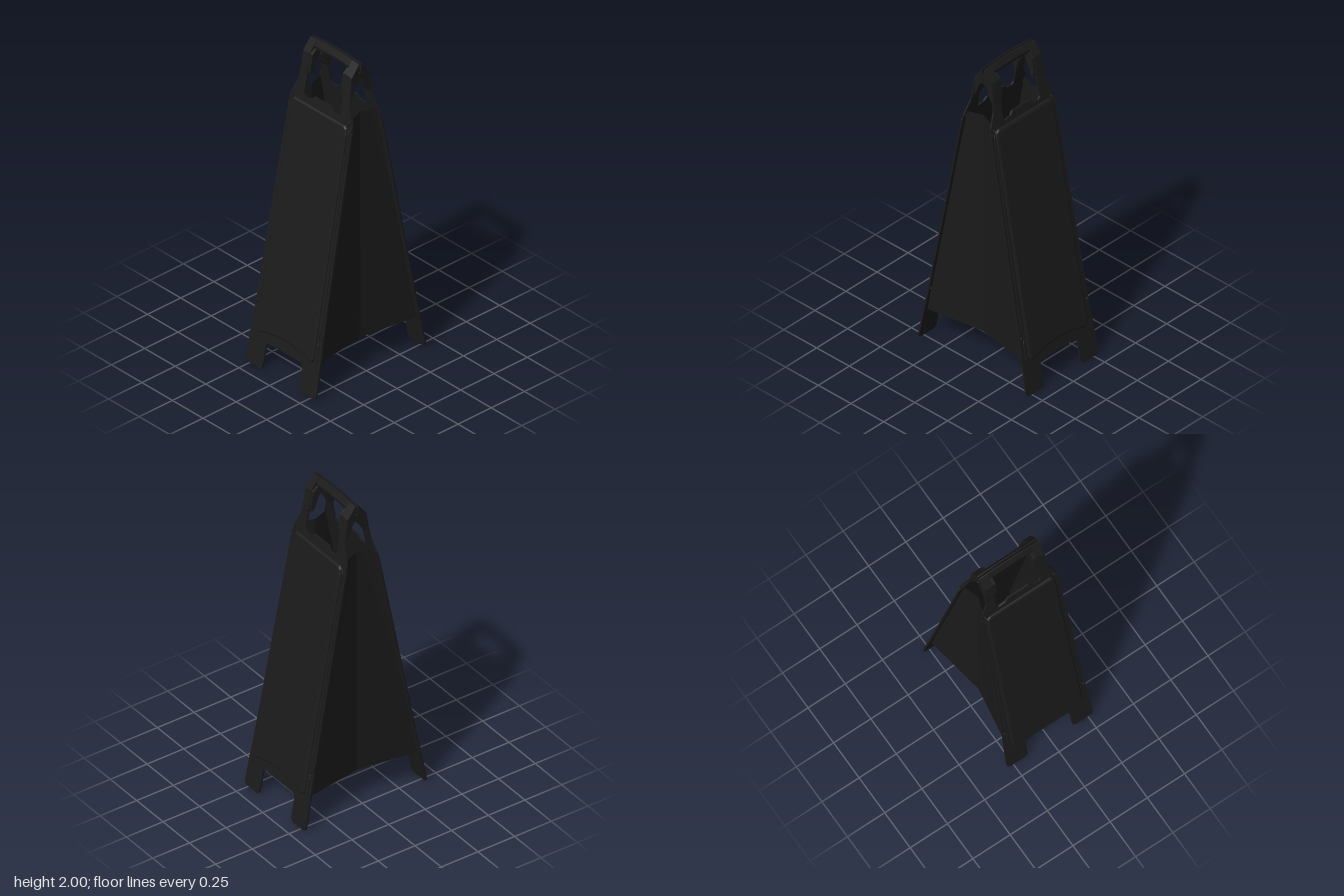
import * as THREE from 'three';

const plastic = new THREE.MeshStandardMaterial({ color: 0x1b1b1b });
const fabric = new THREE.MeshStandardMaterial({ color: 0x1a1a1a, side: THREE.DoubleSide });
plastic.name = 'black plastic';
fabric.name = 'black side sheet';

// Plane of each leaf: z = FOOT - LEAN * y
const FOOT = 0.411, LEAN = 0.187;
const planeZ = (y) => FOOT - LEAN * y;
const leanMatrix = new THREE.Matrix4().set(1, 0, 0, 0, 0, 1, 0, 0, 0, -LEAN, 1, FOOT, 0, 0, 0, 1);

// Closed outline from its right half, listed from centre bottom to centre top
function mirroredShape(half) {
  const left = half.filter(([x]) => x > 0).map(([x, y]) => [-x, y]).reverse();
  return new THREE.Shape([...half, ...left].map(([x, y]) => new THREE.Vector2(x, y)));
}

function addMesh(group, name, geometry, material = plastic) {
  const mesh = new THREE.Mesh(geometry, material);
  mesh.name = name;
  group.add(mesh);
  return mesh;
}

// Slab lying in the leaf's plane, from z0 outward
function leaningSlab(shape, z0, depth, bevel = 0, inset = bevel) {
  return new THREE.ExtrudeGeometry(shape, {
    depth, curveSegments: 10, bevelEnabled: bevel > 0,
    bevelSize: inset, bevelThickness: bevel, bevelOffset: -inset, bevelSegments: 3,
  }).translate(0, 0, z0).applyMatrix4(leanMatrix);
}

// Side profile given as [z, y], extruded from x0 to x1
function sideProfile(points, x0, x1) {
  const shape = new THREE.Shape(points.map(([z, y]) => new THREE.Vector2(-z, y)));
  return new THREE.ExtrudeGeometry(shape, { depth: x1 - x0, bevelEnabled: false, steps: 8 })
    .rotateY(Math.PI / 2).translate(x0, 0, 0);
}

// Handle parts dip slightly towards the ends
function archTop(geometry) {
  const p = geometry.attributes.position;
  for (let i = 0; i < p.count; i++) {
    if (p.getY(i) > 1.92) p.setY(i, p.getY(i) - 0.3 * p.getX(i) ** 2);
  }
  geometry.computeVertexNormals();
  return geometry;
}

function createLeaf() {
  const leaf = new THREE.Group();

  // Thin frame plate with feet, sloped shoulders and handle posts
  const plate = mirroredShape([
    [0.125, 0.165], [0.14, 0.16], [0.149, 0.145], [0.15, 0.025], [0.157, 0.008], [0.172, 0],
    [0.268, 0], [0.283, 0.008], [0.289, 0.025], [0.285, 0.17], [0.277, 0.36], [0.257, 1.6],
    [0.25, 1.655], [0.212, 1.74], [0.206, 1.77], [0.203, 1.88], [0.147, 1.88], [0.147, 1.675],
    [0.135, 1.66], [0.09, 1.668], [0.07, 1.69],
  ]);
  // Fixing holes near the corners
  for (const side of [-1, 1]) {
    for (const [x, y] of [[0.23, 1.643], [0.264, 0.36]]) {
      plate.holes.push(new THREE.Path().absellipse(side * x, y, 0.006, 0.01, 0, Math.PI * 2, true));
    }
  }
  addMesh(leaf, 'frame plate', leaningSlab(plate, -0.004, 0.011));

  // Raised sign face with softly sloped sides and a shallow arch at the bottom
  const face = mirroredShape([
    [0, 0.24], [0.08, 0.236], [0.16, 0.222], [0.21, 0.205], [0.23, 0.21], [0.238, 0.23],
    [0.23, 1.59], [0.224, 1.625], [0.205, 1.64],
  ]);
  addMesh(leaf, 'sign face', leaningSlab(face, 0.012, 0.002, 0.012, 0.016));

  // Narrow moulded edges running along both sides of the face
  for (const side of [-1, 1]) {
    const edge = [[0.236, 0.21], [0.258, 0.21], [0.258, 0.32], [0.248, 0.34], [0.248, 0.38],
      [0.258, 0.4], [0.24, 1.6], [0.222, 1.635]].map(([x, y]) => new THREE.Vector2(side * x, y));
    addMesh(leaf, 'moulded edge', leaningSlab(new THREE.Shape(edge), 0.005, 0.005, 0.003));
  }

  // Handle posts, rounded finger guards and bolts
  const post = [[0.07, 1.785], [0.085, 1.775], [0.078, 1.84], [0.064, 1.93], [0.012, 2], [0.005, 2],
    [0.005, 1.97], [0.001, 1.96], [0.001, 1.89], [0.022, 1.885], [0.032, 1.865], [0.052, 1.81]];
  const guard = [[0.07, 1.795], [0.077, 1.805], [0.077, 1.83], [0.062, 1.92],
    [0.03, 1.95], [0.012, 1.95], [0.012, 1.892], [0.024, 1.885], [0.034, 1.865], [0.054, 1.81]];
  for (const side of [-1, 1]) {
    const [p0, p1] = side > 0 ? [0.145, 0.2] : [-0.2, -0.145];
    const [g0, g1] = side > 0 ? [0.125, 0.147] : [-0.147, -0.125];
    addMesh(leaf, 'handle post', archTop(sideProfile(post, p0, p1)));
    addMesh(leaf, 'finger guard', archTop(sideProfile(guard, g0, g1)));
    const bolt = addMesh(leaf, 'bolt', new THREE.CylinderGeometry(0.007, 0.007, 0.01, 12));
    bolt.position.set(side * 0.245, 1.615, planeZ(1.615) + 0.008);
    bolt.rotation.x = Math.PI / 2 - Math.atan(LEAN);
  }

  // Grip bar
  const bar = [[0.005, 1.945], [0.026, 1.945], [0.031, 1.965], [0.012, 2], [0.005, 2]];
  addMesh(leaf, 'grip bar', archTop(sideProfile(bar, -0.146, 0.146)));
  return leaf;
}

// One half of a folding side sheet, running from the leaf to the centre fold
function sideSheet(side, end) {
  const corners = [
    [0.26, 0.2, planeZ(0.2) - 0.005], [0.2, 0.2, 0],
    [0.197, 1.675, 0], [0.23, 1.675, planeZ(1.675) - 0.003],
  ];
  const geometry = new THREE.BufferGeometry();
  geometry.setAttribute('position', new THREE.Float32BufferAttribute(
    corners.flatMap(([x, y, z]) => [side * x, y, end * z]), 3));
  geometry.setIndex(side * end > 0 ? [0, 1, 2, 0, 2, 3] : [0, 2, 1, 0, 3, 2]);
  geometry.computeVertexNormals();
  return geometry;
}

export function createModel() {
  const model = new THREE.Group();
  model.name = 'folding floor sign';

  const front = createLeaf();
  front.name = 'front leaf';
  const back = createLeaf();
  back.name = 'back leaf';
  back.rotation.y = Math.PI;
  model.add(front, back);

  for (const side of [-1, 1]) {
    for (const end of [-1, 1]) addMesh(model, 'side sheet', sideSheet(side, end), fabric);
    // Hinge knob joining the two leaves
    const knob = addMesh(model, 'hinge knob', new THREE.CylinderGeometry(0.01, 0.01, 0.074, 12));
    knob.rotation.z = Math.PI / 2;
    knob.position.set(side * 0.17, 1.93, 0);
  }
  return model;
}
